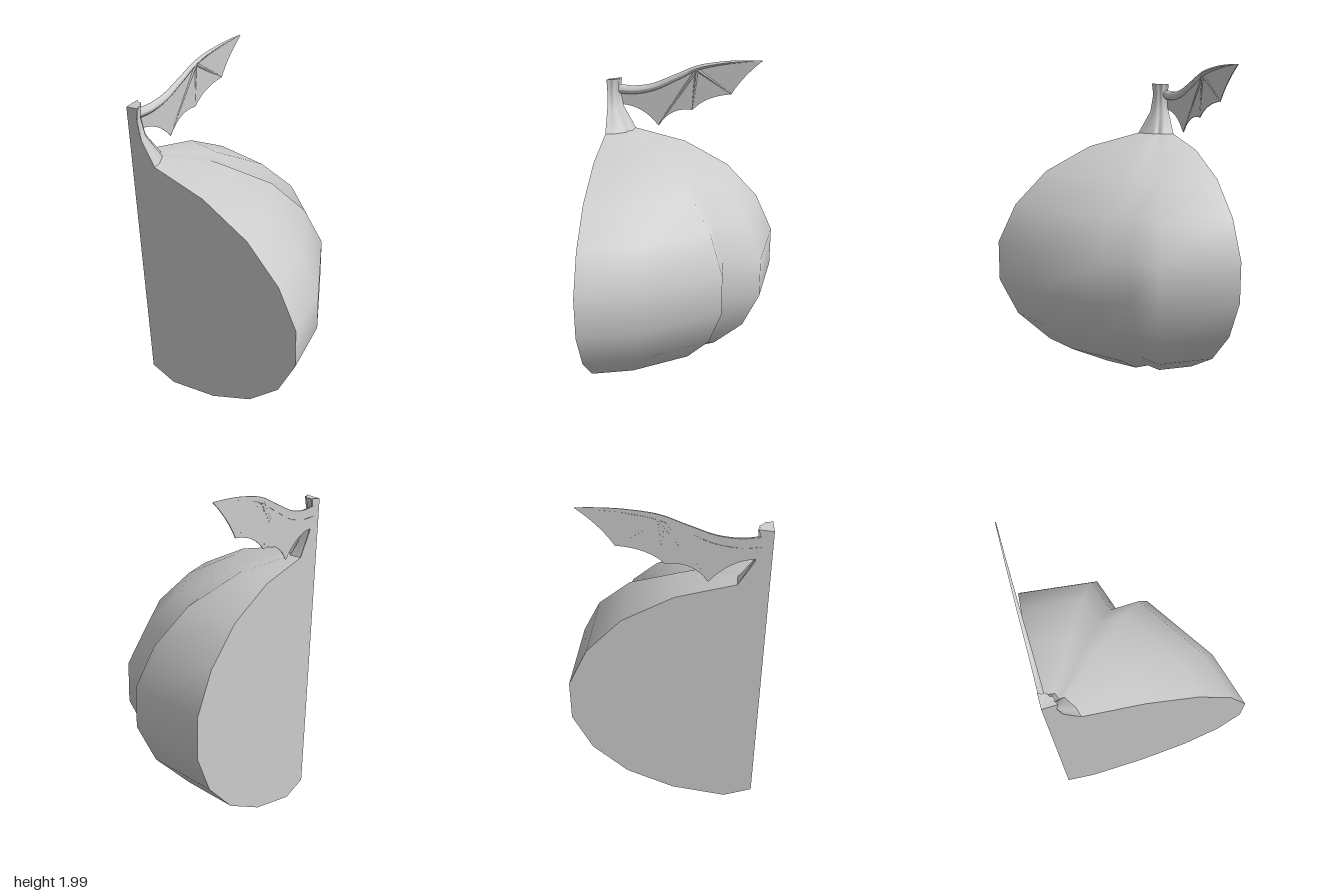
import * as THREE from 'three';

const grey = new THREE.MeshStandardMaterial({ color: 0xcccccc, side: THREE.DoubleSide });
const V2 = (x, y) => new THREE.Vector2(x, y);

// Ribbed outline of the quarter, seen from above: [x, depth] for a radius of 1.13
const ribs = [[1.13, 0], [1.035, 0.34], [0.75, 0.78], [0.555, 0.77], [0.485, 0.99], [0, 1.04]]
  .map(([x, d]) => V2(x / 1.13, d / 1.13));

// Profiles: [radius, height]
const bodyProfile = [[0, 0.05], [0.175, 0], [0.515, 0.08], [0.805, 0.225], [1.015, 0.425], [1.13, 0.66],
  [1.13, 0.905], [1.015, 1.135], [0.81, 1.335], [0.515, 1.48], [0.175, 1.555]];
const stemProfile = [[0.175, 1.555], [0.09, 1.69], [0.07, 1.8], [0.08, 1.87]];
const stemTop = [[0.08, 1.87], [0, 1.86]];

// Skin through rows of points; outline(row) gives the section for radius 1
function skin(name, profile, outline) {
  const pos = [], idx = [];
  const n = outline(0).length;
  profile.forEach(([r, y], j) => outline(j).forEach((p) => pos.push(p.x * r, y, -p.y * r)));
  for (let j = 0; j < profile.length - 1; j++) {
    for (let i = 0; i < n - 1; i++) {
      const a = j * n + i, b = a + 1, c = a + n, d = c + 1;
      if (profile[j][0] > 0) idx.push(a, b, d);
      if (profile[j + 1][0] > 0) idx.push(a, d, c);
      else idx.push(a, b, c);
    }
  }
  const g = new THREE.BufferGeometry();
  g.setAttribute('position', new THREE.Float32BufferAttribute(pos, 3));
  g.setIndex(idx);
  g.computeVertexNormals();
  return named(name, g);
}

function named(name, geometry) {
  const m = new THREE.Mesh(geometry, grey);
  m.name = name;
  return m;
}

// Stem section: ribs at the base, fading into a small scalloped round
function stemOutline(blend) {
  const out = [];
  for (let i = 0; i < ribs.length - 1; i++) {
    for (let k = 0; k < 4; k++) out.push(ribs[i].clone().lerp(ribs[i + 1], k / 4));
  }
  out.push(ribs[ribs.length - 1].clone());
  return out.map((p, i) => {
    const a = (i / (out.length - 1)) * Math.PI / 2;
    const r = 0.96 + 0.05 * Math.cos(a * 12);
    return p.lerp(V2(Math.cos(a) * r, Math.sin(a) * r), blend);
  });
}

// Half-round tapering bone lying on the cut plane; points are [depth, height]
function bone(name, pts, r0, r1, segments) {
  const curve = new THREE.CatmullRomCurve3(pts.map(([d, y]) => new THREE.Vector3(0, y, -d)));
  const sides = 12;
  const g = new THREE.TubeGeometry(curve, segments, 1, sides);
  const p = g.attributes.position, v = new THREE.Vector3();
  for (let i = 0; i < p.count; i++) {
    const t = Math.floor(i / (sides + 1)) / segments;
    const c = curve.getPointAt(t);
    v.fromBufferAttribute(p, i).sub(c).multiplyScalar(r0 + (r1 - r0) * t).add(c);
    p.setXYZ(i, Math.max(v.x, 0), v.y, v.z);
  }
  g.computeVertexNormals();
  return named(name, g);
}

function createWing() {
  const wing = new THREE.Group();
  wing.name = 'wing';
  const lead = [[0.06, 1.8], [0.15, 1.795], [0.27, 1.815], [0.42, 1.88], [0.55, 1.94], [0.7, 1.972], [0.82, 1.985], [0.94, 1.99]];

  // Membrane: leading edge out, scalloped trailing edge back
  const s = new THREE.Shape();
  s.moveTo(0.06, 1.8);
  s.splineThru(lead.slice(1).map(([d, y]) => V2(d, y)));
  s.quadraticCurveTo(0.82, 1.89, 0.76, 1.785);
  s.quadraticCurveTo(0.6, 1.77, 0.52, 1.68);
  s.quadraticCurveTo(0.39, 1.7, 0.305, 1.575);
  s.quadraticCurveTo(0.21, 1.7, 0.07, 1.705);
  const g = new THREE.ExtrudeGeometry(s, { depth: 0.005, bevelEnabled: false, curveSegments: 8 });
  g.rotateY(Math.PI / 2);
  wing.add(named('wingMembrane', g));

  wing.add(bone('wingArm', lead, 0.03, 0.004, 32));
  [[0.305, 1.58], [0.518, 1.685], [0.757, 1.788]].forEach((tip) =>
    wing.add(bone('wingFinger', [[0.545, 1.93], tip], 0.011, 0.006, 4)));
  return wing;
}

export function createModel() {
  const model = new THREE.Group();
  model.name = 'quarterPumpkin';
  model.position.set(-0.565, 0, 0.52);

  model.add(skin('pumpkinBody', bodyProfile, () => ribs));
  const blends = [0, 0.7, 1, 1];
  model.add(skin('stem', stemProfile, (j) => stemOutline(blends[j])));
  model.add(skin('stemTop', stemTop, () => stemOutline(1)));

  // Flat cut faces
  const section = [...bodyProfile, ...stemProfile.slice(1), stemTop[1]];
  const front = new THREE.ShapeGeometry(new THREE.Shape(section.map(([r, y]) => V2(r, y))));
  const side = front.clone().scale(1.04 / 1.13, 1, 1).rotateY(Math.PI / 2);
  model.add(named('frontCutFace', front), named('sideCutFace', side));

  model.add(createWing());

  const root = new THREE.Group();
  root.name = 'pumpkinWithWing';
  root.add(model);
  return root;
}
